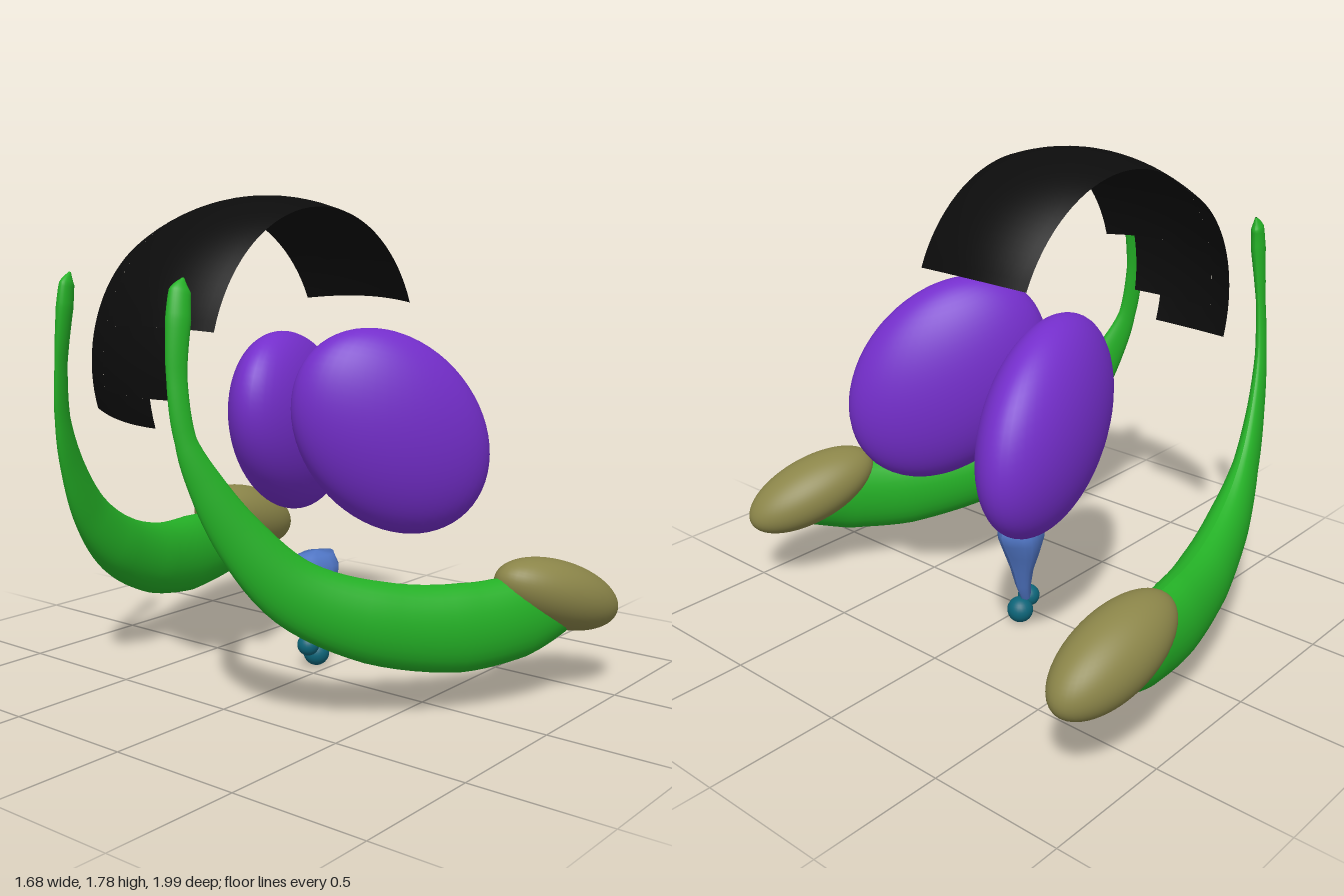
import * as THREE from 'three';

const mat = (name, color, side = THREE.FrontSide) => {
  const m = new THREE.MeshStandardMaterial({ color, side });
  m.name = name;
  return m;
};

function addMesh(parent, name, geometry, material) {
  const mesh = new THREE.Mesh(geometry, material);
  mesh.name = name;
  parent.add(mesh);
  return mesh;
}

// Smooth indexed surface from a rule f(u, v) -> [x, y, z]
function gridGeometry(f, nu, nv) {
  const pos = [], idx = [];
  for (let i = 0; i <= nu; i++)
    for (let j = 0; j <= nv; j++) pos.push(...f(i / nu, j / nv));
  for (let i = 0; i < nu; i++)
    for (let j = 0; j < nv; j++) {
      const a = i * (nv + 1) + j, b = a + nv + 1;
      idx.push(a, b, a + 1, b, b + 1, a + 1);
    }
  const g = new THREE.BufferGeometry();
  g.setAttribute('position', new THREE.Float32BufferAttribute(pos, 3));
  g.setIndex(idx);
  g.computeVertexNormals();
  return g;
}

// Tilted ellipsoid: half extents plus the products xy, xz, yz that shear it (Cholesky factor)
function ellipsoid([cx, cy, cz], [hx, hy, hz], [xy, xz, yz]) {
  const a = hx, b = xy / a, c = xz / a;
  const d = Math.sqrt(hy * hy - b * b);
  const e = (yz - b * c) / d;
  const f = Math.sqrt(hz * hz - c * c - e * e);
  const m = new THREE.Matrix4().set(
    a, 0, 0, cx,
    b, d, 0, cy,
    c, e, f, cz,
    0, 0, 0, 1);
  return new THREE.SphereGeometry(1, 48, 32).applyMatrix4(m);
}

// Swept arm: stations of [x, y, z, in-plane radius, sideways radius]
function armGeometry(stations, planeAngle) {
  const curve = new THREE.CatmullRomCurve3(stations.map(s => new THREE.Vector3(s[0], s[1], s[2])), false, 'centripetal');
  const side = new THREE.Vector3(-Math.sin(planeAngle), 0, Math.cos(planeAngle));
  const n = stations.length - 1;
  const T = new THREE.Vector3(), P = new THREE.Vector3(), N = new THREE.Vector3(), B = new THREE.Vector3();
  return gridGeometry((u, v) => {
    const k = Math.min(Math.floor(u * n), n - 1), t = u * n - k;
    const r = THREE.MathUtils.lerp(stations[k][3], stations[k + 1][3], t);
    const w = THREE.MathUtils.lerp(stations[k][4], stations[k + 1][4], t);
    curve.getPoint(u, P);
    curve.getTangent(u, T);
    N.crossVectors(side, T).normalize();
    B.crossVectors(T, N);
    const a = v * Math.PI * 2;
    P.addScaledVector(N, Math.cos(a) * r).addScaledVector(B, Math.sin(a) * w);
    return [P.x, P.y, P.z];
  }, 72, 28);
}

export function createModel() {
  const model = new THREE.Group();
  model.name = 'model';

  const black = mat('black', 0x0c0c0c, THREE.DoubleSide);
  const purple = mat('purple', 0x742ecb);
  const green = mat('green', 0x24b026, THREE.DoubleSide);
  const olive = mat('olive', 0x8b8549);
  const blue = mat('blue', 0x4f75c4, THREE.DoubleSide);
  const teal = mat('teal', 0x0d6579);

  // Barrel-curved thin canopy with stepped edges, in patches by angle and z
  const canopy = new THREE.Group();
  canopy.name = 'canopy';
  model.add(canopy);
  const backEdge = a => -0.28 - 0.04 * Math.min(1, (a - 22) / 90);
  const frontEdge = a => 0.22 - 0.03 * (a - 22) / 143;
  const patches = [
    [22, 165, backEdge, frontEdge],
    [112, 198, () => -0.43, () => -0.32],
    [165, 188, () => -0.32, () => 0.07],
    [188, 198, () => -0.32, () => -0.05],
  ];
  for (const [a0, a1, z0, z1] of patches) {
    addMesh(canopy, 'canopyPatch', gridGeometry((u, v) => {
      const deg = THREE.MathUtils.lerp(a0, a1, u), a = THREE.MathUtils.degToRad(deg);
      const z = THREE.MathUtils.lerp(z0(deg), z1(deg), v);
      const r = 0.585 - 0.66 * (z + 0.05) ** 2;
      return [-0.2 + r * Math.cos(a), 1.2 + r * Math.sin(a), z];
    }, Math.ceil((a1 - a0) / 4), 14), black);
  }

  // Large lobes
  addMesh(model, 'frontLobe', ellipsoid([0.128, 0.936, 0.265], [0.323, 0.384, 0.265], [-0.034, 0.053, -0.018]), purple);
  addMesh(model, 'backLobe', ellipsoid([0.22, 0.92, -0.295], [0.38, 0.364, 0.195], [-0.033, -0.0254, 0.009]), purple);

  // Curved arms, from thin upper tip to thick lower end
  addMesh(model, 'frontArm', armGeometry([
    [-0.745, 1.51, 0.075, 0.004, 0.004],
    [-0.765, 1.47, 0.08, 0.036, 0.022],
    [-0.785, 1.38, 0.09, 0.042, 0.026],
    [-0.805, 1.2, 0.10, 0.034, 0.018],
    [-0.795, 1.0, 0.125, 0.036, 0.02],
    [-0.745, 0.85, 0.165, 0.06, 0.03],
    [-0.655, 0.67, 0.23, 0.088, 0.045],
    [-0.51, 0.48, 0.335, 0.115, 0.066],
    [-0.29, 0.36, 0.495, 0.142, 0.085],
    [-0.02, 0.31, 0.665, 0.157, 0.09],
    [0.2, 0.325, 0.775, 0.15, 0.088],
    [0.38, 0.35, 0.835, 0.11, 0.08],
    [0.48, 0.35, 0.87, 0.004, 0.004],
  ], 0.572), green);
  addMesh(model, 'backArm', armGeometry([
    [-0.70, 1.52, -0.52, 0.004, 0.004],
    [-0.715, 1.48, -0.52, 0.034, 0.022],
    [-0.725, 1.4, -0.523, 0.038, 0.026],
    [-0.73, 1.2, -0.545, 0.032, 0.016],
    [-0.705, 1.0, -0.575, 0.038, 0.02],
    [-0.635, 0.81, -0.61, 0.06, 0.03],
    [-0.52, 0.62, -0.65, 0.088, 0.045],
    [-0.35, 0.465, -0.695, 0.118, 0.075],
    [-0.1, 0.355, -0.755, 0.143, 0.095],
    [0.15, 0.32, -0.805, 0.16, 0.1],
    [0.38, 0.33, -0.835, 0.15, 0.098],
    [0.56, 0.36, -0.86, 0.11, 0.08],
    [0.66, 0.37, -0.87, 0.004, 0.004],
  ], -0.249), green);

  // Rounded arm ends
  addMesh(model, 'frontArmEnd', ellipsoid([0.352, 0.38, 0.835], [0.248, 0.15, 0.16], [-0.0195, 0.0176, -0.006]), olive);
  addMesh(model, 'backArmEnd', ellipsoid([0.567, 0.405, -0.865], [0.275, 0.155, 0.135], [-0.0175, 0.003, 0]), olive);

  // Small lumpy funnel: rings of [y, centre x, x radius, z radius]
  const rings = [
    [0.08, 0.07, 0.003, 0.003], [0.1, 0.07, 0.02, 0.02], [0.16, 0.085, 0.03, 0.03], [0.23, 0.092, 0.042, 0.046],
    [0.3, 0.095, 0.065, 0.07], [0.36, 0.098, 0.09, 0.084], [0.4, 0.1, 0.1, 0.08],
    [0.44, 0.1, 0.088, 0.058], [0.452, 0.1, 0.003, 0.003],
  ];
  addMesh(model, 'funnel', gridGeometry((u, v) => {
    const [y, x, rx, rz] = rings[Math.round(u * (rings.length - 1))];
    const a = -v * Math.PI * 2, k = 1 + 0.06 * Math.cos(5 * a);
    return [x + rx * k * Math.cos(a), y, -0.068 + rz * k * Math.sin(a)];
  }, rings.length - 1, 20), blue);

  // Beads under the funnel
  for (const [x, y, z, r] of [[0.04, 0.092, -0.058, 0.042], [0.09, 0.05, -0.058, 0.05]])
    addMesh(model, 'bead', new THREE.SphereGeometry(r, 24, 16).translate(x, y, z), teal);

  return model;
}
